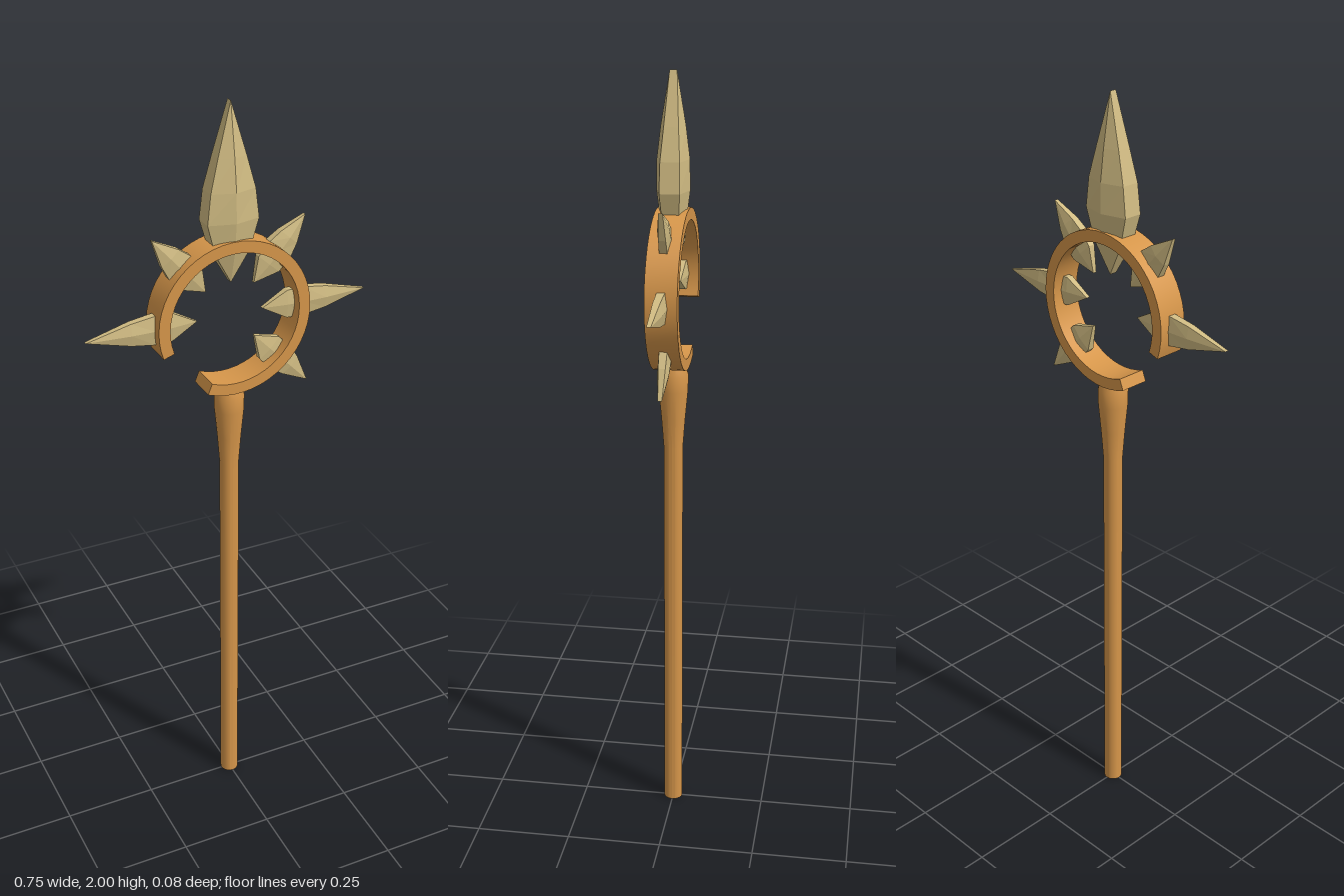
import * as THREE from 'three';
import { toCreasedNormals } from 'three/addons/utils/BufferGeometryUtils.js';

const wood = new THREE.MeshStandardMaterial({ color: 0xd6964a });
wood.name = 'warm wood';
const bone = new THREE.MeshStandardMaterial({ color: 0xd0bb82 });
bone.name = 'pale bone';

const RING_Y = 1.467;

// Six-sided blade along +y; each station is [y, half width, ridge depth, edge depth]
function bladeGeometry(stations) {
  const rings = stations.map(([y, w, r, e]) => [
    [0, y, r], [w, y, e], [w, y, -e], [0, y, -r], [-w, y, -e], [-w, y, e],
  ]);
  const pos = [];
  for (let i = 0; i < rings.length - 1; i++) {
    for (let j = 0; j < 6; j++) {
      const k = (j + 1) % 6;
      const [a, b, c, d] = [rings[i][j], rings[i][k], rings[i + 1][k], rings[i + 1][j]];
      pos.push(...a, ...b, ...c, ...a, ...c, ...d);
    }
  }
  const geo = new THREE.BufferGeometry();
  geo.setAttribute('position', new THREE.Float32BufferAttribute(pos, 3));
  geo.computeVertexNormals();
  return geo;
}

export function createModel() {
  const model = new THREE.Group();
  model.name = 'staff';
  const add = (name, geo, mat) => {
    const mesh = new THREE.Mesh(geo, mat);
    mesh.name = name;
    model.add(mesh);
    return mesh;
  };

  // Shaft with flared neck and collar
  const profile = [[0, 0], [0.025, 0], [0.025, 1.05], [0.031, 1.13], [0.038, 1.205],
    [0.039, 1.245], [0.031, 1.272], [0, 1.272]].map(([x, y]) => new THREE.Vector2(x, y));
  add('shaft', toCreasedNormals(new THREE.LatheGeometry(profile, 20), 0.5), wood);

  // Broken ring, open at the lower right side of the model
  const start = THREE.MathUtils.degToRad(-112);
  const end = THREE.MathUtils.degToRad(199);
  const arc = new THREE.Shape();
  arc.absarc(0, 0, 0.203, start, end, false);
  arc.absarc(0, 0, 0.173, end, start, true);
  const ringGeo = new THREE.ExtrudeGeometry(arc, { depth: 0.08, bevelEnabled: false, curveSegments: 22 });
  ringGeo.translate(0, RING_Y, -0.04);
  add('ring', toCreasedNormals(ringGeo, 0.5), wood);

  // Large top blade
  add('topBlade', bladeGeometry([
    [1.555, 0, 0.01, 0.01],
    [1.635, 0.045, 0.032, 0.02],
    [1.715, 0.067, 0.042, 0.025],
    [1.79, 0.058, 0.041, 0.024],
    [1.87, 0.037, 0.031, 0.018],
    [2.0, 0, 0.009, 0.009],
  ]), bone);

  // Small spikes through the ring: [name, angle in degrees, outer tip radius, inner tip radius]
  const spikes = [
    ['leftSpike', 0, 0.375, 0.088],
    ['rightSpike', 180, 0.375, 0.088],
    ['upperLeftSpike', 48.5, 0.303, 0.097],
    ['upperRightSpike', 131.5, 0.303, 0.097],
    ['lowerLeftSpike', -46, 0.314, 0.097],
  ];
  for (const [name, angle, tip, inner] of spikes) {
    const mid = 0.2 + (tip - 0.2) * 0.35;
    const spike = add(name, bladeGeometry([
      [inner, 0, 0.005, 0.005],
      [0.155, 0.037, 0.014, 0.009],
      [0.2, 0.038, 0.016, 0.01],
      [mid, 0.029, 0.015, 0.009],
      [tip, 0, 0.005, 0.005],
    ]), bone);
    spike.position.y = RING_Y;
    spike.rotation.z = THREE.MathUtils.degToRad(angle - 90);
  }
  return model;
}
